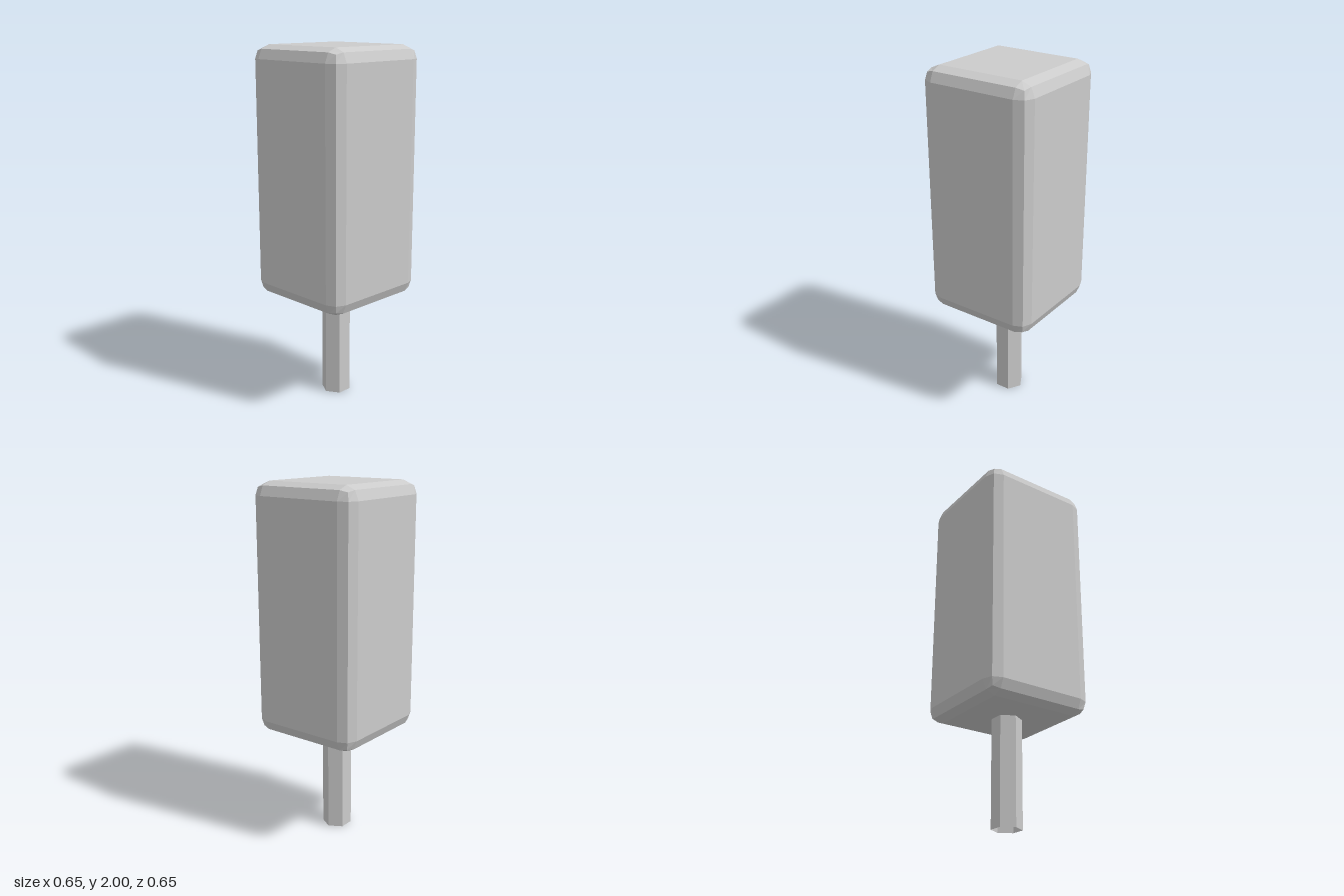
import * as THREE from 'three';
import { RoundedBoxGeometry } from 'three/addons/geometries/RoundedBoxGeometry.js';

export function createModel() {
  const group = new THREE.Group();
  const addPart = (name, geometry, y, side = THREE.FrontSide) => {
    const material = new THREE.MeshStandardMaterial({ color: 0xcccccc, flatShading: true, side });
    const mesh = new THREE.Mesh(geometry, material);
    mesh.name = name;
    mesh.position.y = y;
    group.add(mesh);
  };

  // Tall block with two-facet bevels on every edge
  const width = 0.655, height = 1.4, bevel = 0.075;
  addPart('block', new RoundedBoxGeometry(width, height, width, 1, bevel), 2 - height / 2);

  // Hexagonal stick, hollow and open at the bottom
  const stickLength = 0.6;
  addPart('stick', new THREE.CylinderGeometry(0.083, 0.083, stickLength, 6, 1, true),
    stickLength / 2, THREE.DoubleSide);

  return group;
}
